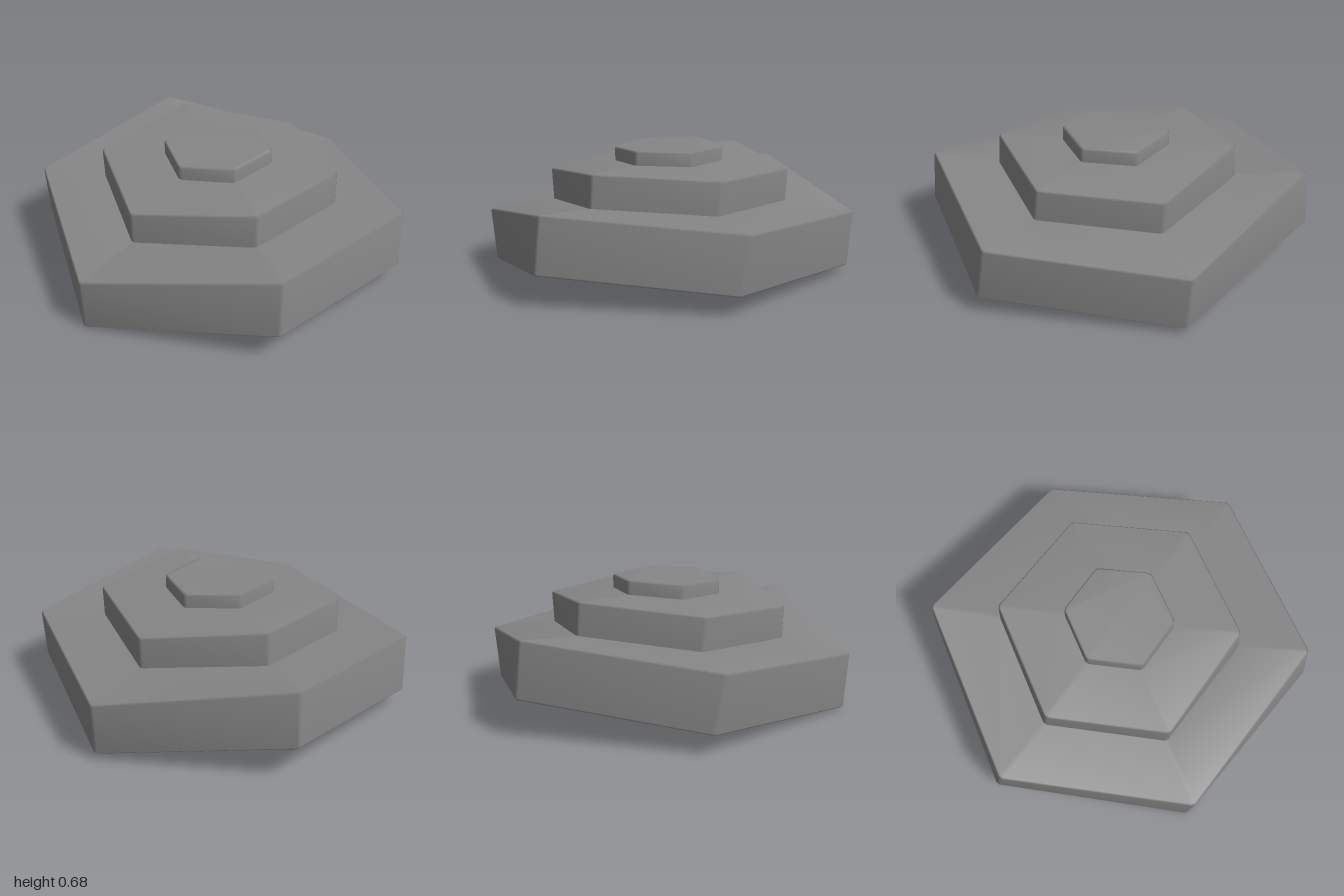
import * as THREE from 'three';

const CHAMFER = 0.012;
const SIDES = 12;

// Gentle twist about the x axis plus a slight tilt that raises the back
function twist(x, y, z) {
  const s = Math.tan(0.19 * x);
  return [x, y + s * z - 0.02 * z, z + s * (0.5 - y)];
}

// Hexagon with a corner on +x, every corner cut by a small chamfer
function hexRing(radius, y) {
  const corner = (i) => new THREE.Vector2(Math.cos(i * Math.PI / 3), Math.sin(i * Math.PI / 3)).multiplyScalar(radius);
  const ring = [];
  for (let i = 0; i < 6; i++) {
    for (const side of [-1, 1]) {
      const p = corner(i).lerp(corner(i + side), CHAMFER / radius);
      ring.push(twist(p.x, y, p.y));
    }
  }
  return ring;
}

function buildGeometry(rings, index) {
  const geo = new THREE.BufferGeometry();
  const positions = rings.flatMap(([r, y]) => hexRing(r, y).flat());
  geo.setAttribute('position', new THREE.Float32BufferAttribute(positions, 3));
  geo.setIndex(index);
  // Area-weighted normals keep the broad faces flat and soften the bevels
  geo.computeVertexNormals();
  return geo;
}

// Walls lofted through [radius, height] rings, bottom to top, with a cap on the last
function tierGeometry(profile) {
  const index = [];
  const top = (profile.length - 1) * SIDES;
  for (let k = 0; k < top; k += SIDES) {
    for (let j = 0; j < SIDES; j++) {
      const a = k + j, b = k + (j + 1) % SIDES;
      index.push(a, a + SIDES, b + SIDES, a, b + SIDES, b);
    }
  }
  for (let j = 1; j < SIDES - 1; j++) index.push(top, top + j + 1, top + j);
  return buildGeometry(profile, index);
}

// Downward face fanned from the right-hand corner
function undersideGeometry(ring) {
  const index = [];
  for (let j = 1; j < SIDES - 1; j++) index.push(0, j, j + 1);
  return buildGeometry([ring], index);
}

export function createModel() {
  const group = new THREE.Group();
  group.name = 'steppedHexPlatform';
  const color = 0x868686;
  const smooth = new THREE.MeshStandardMaterial({ color });
  const faceted = new THREE.MeshStandardMaterial({ color, flatShading: true });

  const add = (name, geometry, material) => {
    const mesh = new THREE.Mesh(geometry, material);
    mesh.name = name;
    group.add(mesh);
  };

  // Each tier: wall, bevelled upper edge, ledge up to the next tier
  const tiers = {
    baseTier: [[0.995, 0.099], [1.005, 0.108], [1.005, 0.382], [0.995, 0.392], [0.645, 0.402]],
    middleTier: [[0.642, 0.39], [0.642, 0.564], [0.632, 0.574], [0.295, 0.59]],
    topTier: [[0.292, 0.58], [0.292, 0.656], [0.282, 0.666]],
  };
  for (const [name, profile] of Object.entries(tiers)) add(name, tierGeometry(profile), smooth);
  add('underside', undersideGeometry(tiers.baseTier[0]), faceted);

  // Rest the lowest corner on the ground
  const lowest = new THREE.Box3().setFromObject(group).min.y;
  group.children.forEach((mesh) => { mesh.position.y -= lowest; });
  return group;
}
